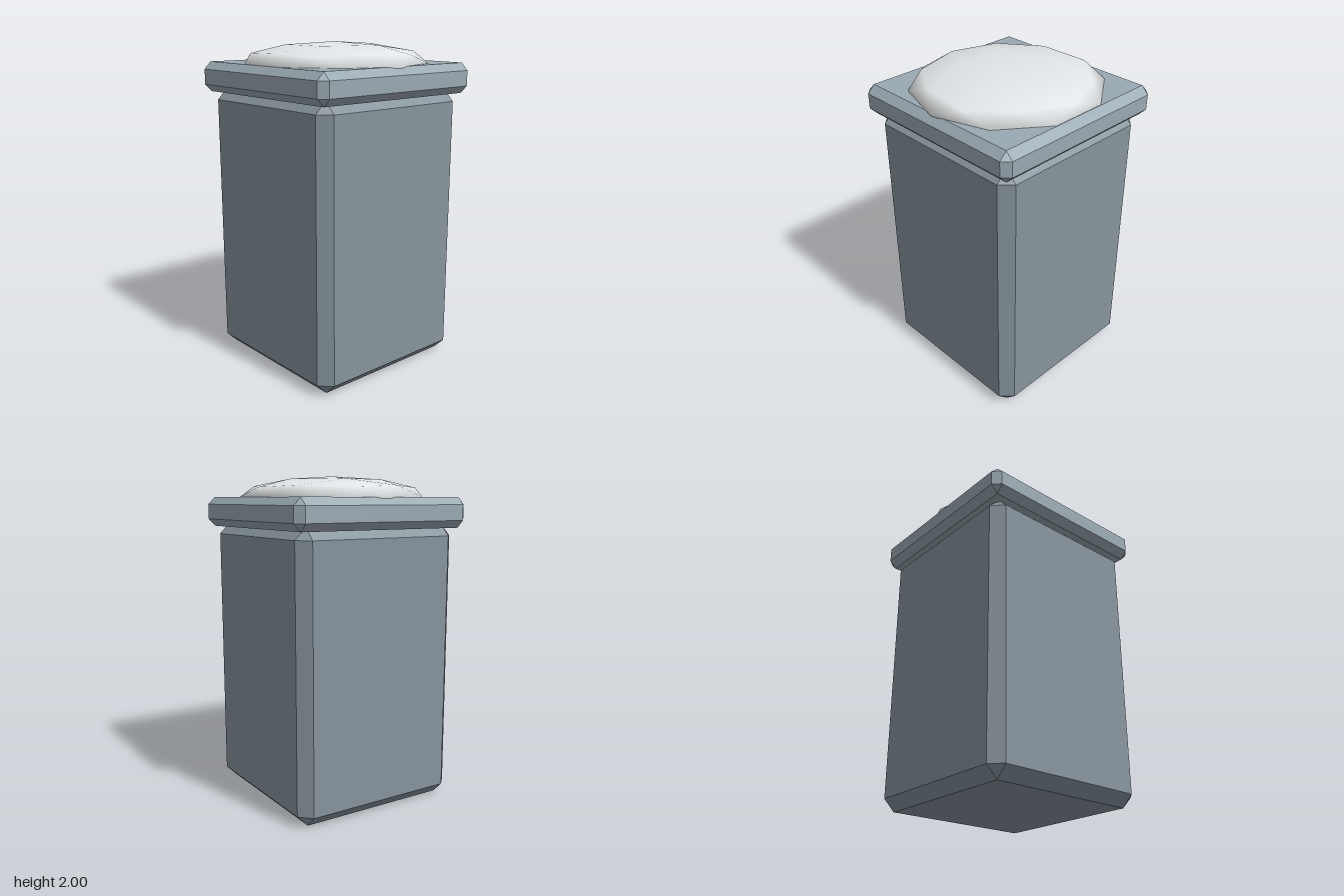
import * as THREE from 'three';
import { ConvexGeometry } from 'three/addons/geometries/ConvexGeometry.js';

// Box with every edge and corner chamfered by c, standing on y = 0
function chamferedBox(w, h, d, c) {
  const points = [];
  for (const sx of [-1, 1]) for (const sy of [-1, 1]) for (const sz of [-1, 1]) {
    for (let axis = 0; axis < 3; axis++) {
      const inset = [c, c, c];
      inset[axis] = 0;
      points.push(new THREE.Vector3(
        sx * (w / 2 - inset[0]),
        h / 2 + sy * (h / 2 - inset[1]),
        sz * (d / 2 - inset[2])
      ));
    }
  }
  return new ConvexGeometry(points);
}

// Squashed icosphere with a vertex at the top
function snowDome(radius, height) {
  const golden = (1 + Math.sqrt(5)) / 2;
  return new THREE.IcosahedronGeometry(1, 1)
    .rotateZ(-Math.atan(1 / golden))
    .scale(radius, height, radius);
}

function material(name, color) {
  const m = new THREE.MeshStandardMaterial({ color });
  m.name = name;
  return m;
}

export function createModel() {
  const group = new THREE.Group();
  group.name = 'snowyPillar';

  const add = (name, geometry, mat, y) => {
    const mesh = new THREE.Mesh(geometry, mat);
    mesh.name = name;
    mesh.position.y = y;
    group.add(mesh);
  };

  // Square post, its top chamfer running up into the cap
  add('post', chamferedBox(1.094, 1.715, 1.094, 0.07), material('dark stone', 0x86939c), 0);

  // Wider cap slab
  add('capSlab', chamferedBox(1.185, 0.183, 1.185, 0.045), material('light stone', 0x9aa9b2), 1.692);

  // Snow lying on the cap
  add('snow', snowDome(0.573, 0.124), material('snow white', 0xeceff1), 1.876);

  return group;
}
